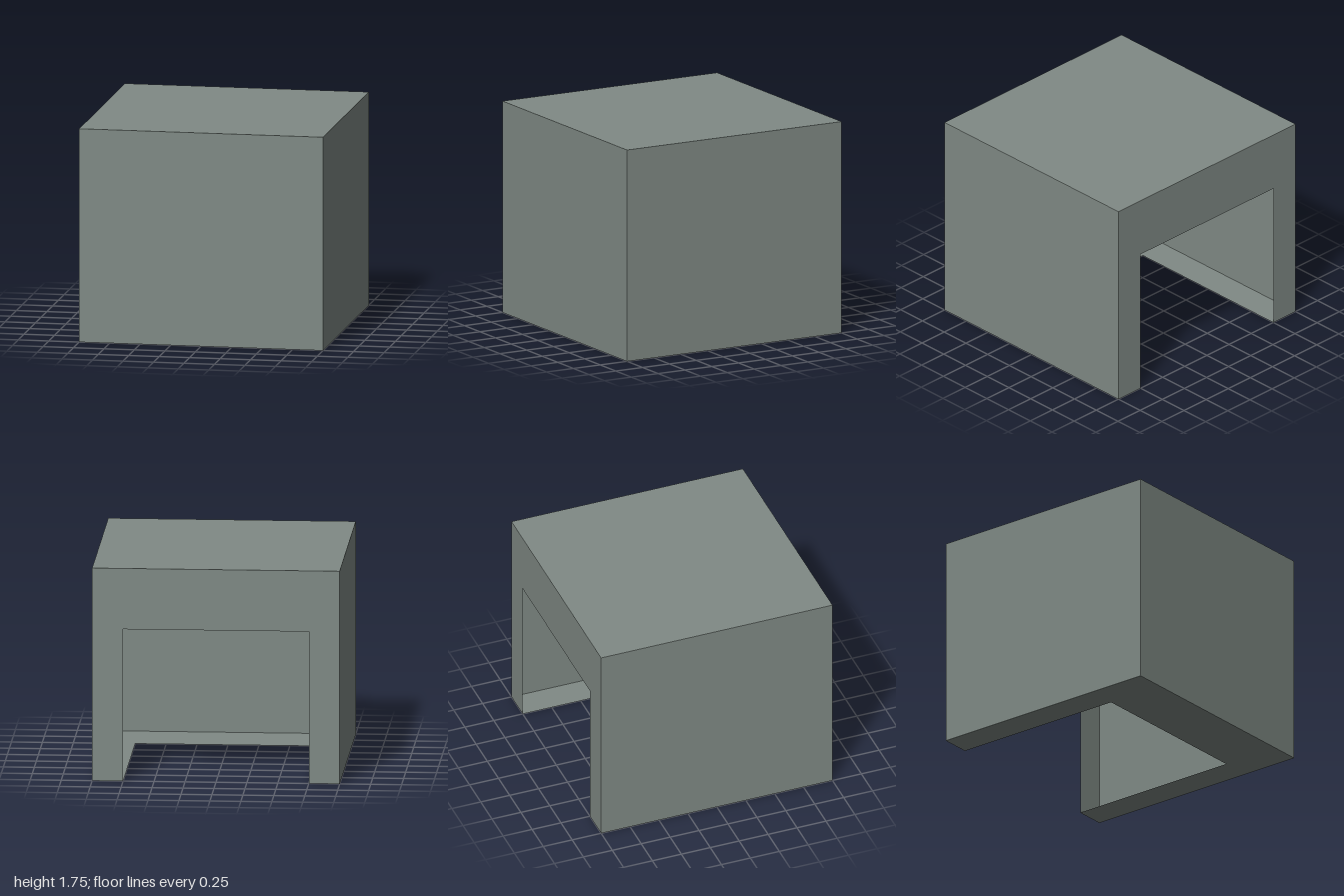
import * as THREE from 'three';

const SIZE = 2, HEIGHT = 1.75, RIM = 0.25, HALF = SIZE / 2;

// Flat panel standing on y = 0, with a notch cut up from its lower edge
function notchedPanel(height, notch) {
  const inner = HALF - RIM;
  const shape = new THREE.Shape([
    [-HALF, 0], [-inner, 0], [-inner, notch], [inner, notch],
    [inner, 0], [HALF, 0], [HALF, height], [-HALF, height],
  ].map(([x, y]) => new THREE.Vector2(x, y)));
  return new THREE.ShapeGeometry(shape);
}

export function createModel() {
  const group = new THREE.Group();
  group.name = 'hollowBlock';
  const greyGreen = new THREE.MeshStandardMaterial({ color: 0x808a85, side: THREE.DoubleSide });
  greyGreen.name = 'greyGreen';

  const add = (name, geometry) => {
    const mesh = new THREE.Mesh(geometry, greyGreen);
    mesh.name = name;
    group.add(mesh);
  };
  const wall = () => new THREE.PlaneGeometry(SIZE, HEIGHT).translate(0, HEIGHT / 2, HALF);

  // Closed sides of the thin shell
  add('frontWall', wall());
  add('leftWall', wall().rotateY(Math.PI / 2));
  add('rightWall', wall().rotateY(-Math.PI / 2));
  add('roof', new THREE.PlaneGeometry(SIZE, SIZE).rotateX(-Math.PI / 2).translate(0, HEIGHT, 0));

  // Back wall and floor share one opening that meets at the lower back edge
  add('backWall', notchedPanel(HEIGHT, HEIGHT - 2 * RIM).rotateY(Math.PI).translate(0, 0, -HALF));
  add('floorRim', notchedPanel(SIZE, SIZE - 2 * RIM).rotateX(Math.PI / 2).translate(0, 0, -HALF));

  return group;
}
